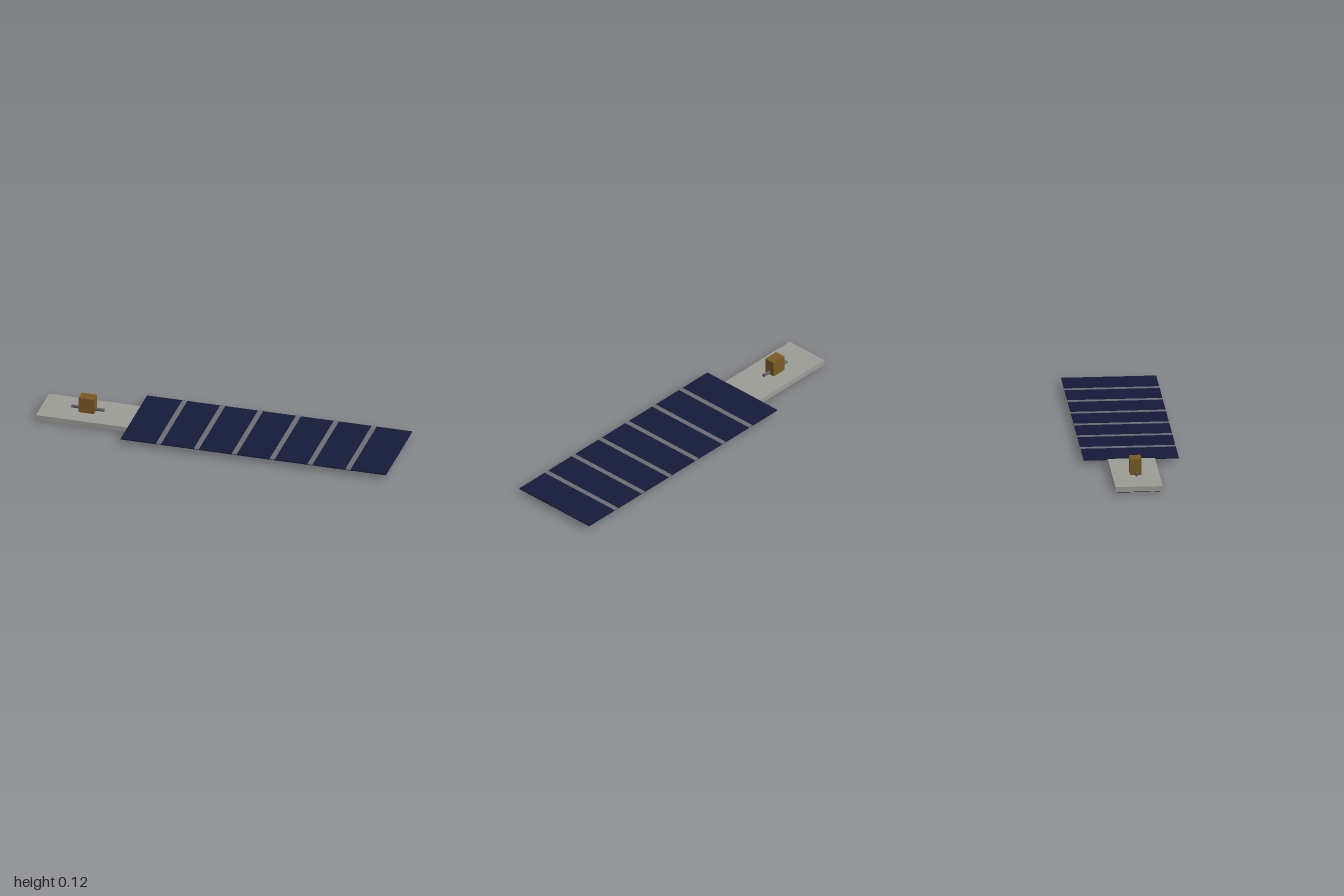
import * as THREE from 'three';

export function createModel() {
  const model = new THREE.Group();
  const mat = (color) => new THREE.MeshStandardMaterial({ color });
  const plate = mat(0x9c9c96), gold = mat(0x7a5a24), navy = mat(0x151a3a);
  const steel = mat(0x555860), seam = mat(0x6c6e74), black = mat(0x141414);

  // Box given by its min and max on x and y, and its half depth on z
  const box = (name, x0, x1, y0, y1, halfZ, material) => {
    const mesh = new THREE.Mesh(new THREE.BoxGeometry(x1 - x0, y1 - y0, halfZ * 2), material);
    mesh.position.set((x0 + x1) / 2, (y0 + y1) / 2, 0);
    mesh.name = name;
    model.add(mesh);
    return mesh;
  };

  // Flat body with a dark panel underneath
  box('body', -1, -0.487, 0.007, 0.035, 0.128, plate);
  box('undersidePanel', -0.985, -0.505, 0, 0.007, 0.115, black);

  // Block on top, with a rod through it
  box('topBlock', -0.788, -0.702, 0.035, 0.122, 0.031, gold);
  const rod = new THREE.Mesh(new THREE.CylinderGeometry(0.0085, 0.0085, 0.182, 16), steel);
  rod.name = 'rod';
  rod.rotation.z = Math.PI / 2;
  rod.position.set(-0.745, 0.05, 0);
  model.add(rod);

  // Hinge between the body and the solar array
  box('hinge', -0.49, -0.456, 0.011, 0.0285, 0.01, steel);

  // Long solar array, divided by raised seams into equal segments
  const start = -0.487, end = 1, segments = 7;
  box('solarArray', start, end, 0.028, 0.0335, 0.257, navy);
  for (let i = 1; i < segments; i++) {
    const x = start + ((end - start) * i) / segments;
    box('arraySeam' + i, x - 0.014, x + 0.014, 0.0305, 0.035, 0.2585, seam);
  }
  return model;
}
